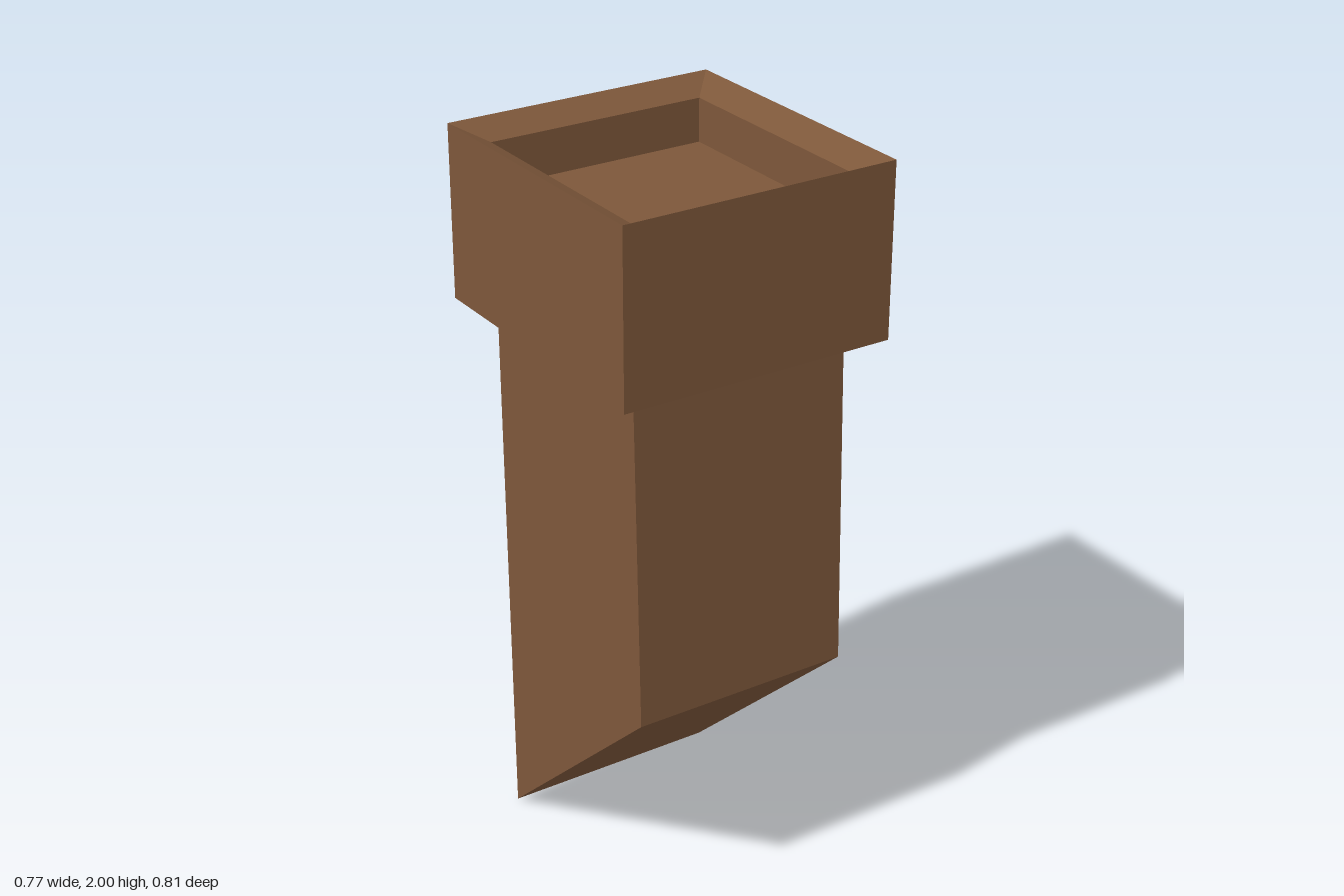
import * as THREE from 'three';

// Lofts a list of rectangles [halfX, halfZ, y] into flat-faced walls
function rectLoft(rings) {
  const pos = [];
  const corner = ([hx, hz, y], j) => {
    const [sx, sz] = [[1, 1], [1, -1], [-1, -1], [-1, 1]][j % 4];
    return [sx * hx, y, sz * hz];
  };
  for (let i = 0; i < rings.length - 1; i++) {
    for (let j = 0; j < 4; j++) {
      const a = corner(rings[i], j), b = corner(rings[i], j + 1);
      const c = corner(rings[i + 1], j + 1), d = corner(rings[i + 1], j);
      pos.push(...a, ...b, ...c, ...a, ...c, ...d);
    }
  }
  const geo = new THREE.BufferGeometry();
  geo.setAttribute('position', new THREE.Float32BufferAttribute(pos, 3));
  geo.computeVertexNormals();
  return geo;
}

export function createModel() {
  const group = new THREE.Group();
  group.name = 'chimney';
  const brick = new THREE.MeshStandardMaterial({ color: 0x7d573a, flatShading: true });
  brick.name = 'brown brick';

  const add = (name, geo) => {
    const mesh = new THREE.Mesh(geo, brick);
    mesh.name = name;
    group.add(mesh);
    return mesh;
  };

  // Shaft: side profile (z, y) with a roof-pitch cut at the bottom, extruded across x
  const profile = new THREE.Shape([
    [-0.305, 0], [0.353, 0.607], [0.325, 1.56], [-0.322, 1.56],
  ].map(([z, y]) => new THREE.Vector2(z, y)));
  const shaft = new THREE.ExtrudeGeometry(profile, { depth: 0.62, bevelEnabled: false });
  shaft.rotateY(-Math.PI / 2).translate(0.31, 0, 0);
  add('shaft', shaft);

  // Cap: underside, outer walls, inward-sloping rim and the walls of the flue recess
  add('cap', rectLoft([
    [0.31, 0.324, 1.555],
    [0.386, 0.407, 1.53],
    [0.386, 0.407, 2],
    [0.31, 0.325, 1.96],
    [0.31, 0.325, 1.84],
  ]));

  // Floor of the recess
  const floor = new THREE.PlaneGeometry(0.62, 0.65);
  floor.rotateX(-Math.PI / 2).translate(0, 1.84, 0);
  add('flueFloor', floor);

  return group;
}
